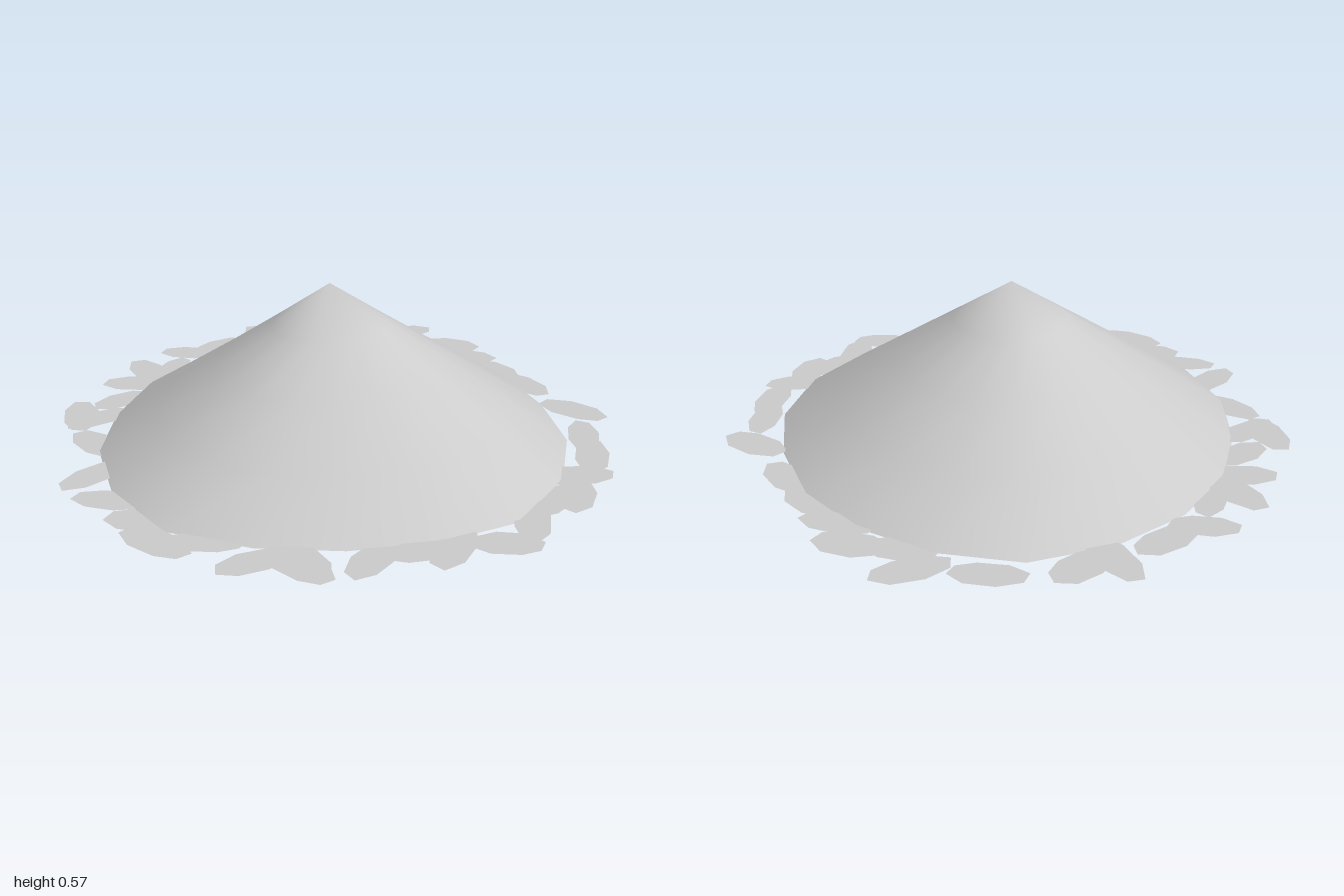
import * as THREE from 'three';
import { mergeVertices } from 'three/addons/utils/BufferGeometryUtils.js';

const HEIGHT = 0.57;
// uneven foot radius, every 20 degrees from +x towards +z
const RADII = [0.82, 0.82, 0.82, 0.85, 0.87, 0.88, 0.83, 0.81, 0.83,
  0.88, 0.87, 0.85, 0.82, 0.82, 0.82, 0.83, 0.85, 0.83];
const STEP = (Math.PI * 2) / RADII.length;

// leaves: centre x, centre z, heading in degrees
const LEAVES = [
  [0.16, -0.89, 60], [0.3, -0.83, 20], [0.48, -0.75, 115], [0.57, -0.69, 15],
  [0.77, -0.49, 60], [0.89, -0.29, 35], [0.82, -0.2, 65], [0.9, -0.05, 68],
  [0.84, 0.06, 70], [0.8, 0.22, 95], [0.74, 0.39, 105], [0.65, 0.65, 85],
  [0.49, 0.77, 150], [0.37, 0.86, 155], [0.21, 0.88, 45], [0.1, 0.93, 160],
  [0.02, 0.89, 5], [-0.13, 0.89, 150], [-0.29, 0.89, 55], [-0.41, 0.77, -10],
  [-0.48, 0.71, 40], [-0.61, 0.61, 0], [-0.77, 0.46, 90], [-0.74, 0.44, 105],
  [-0.84, 0.33, 30], [-0.84, 0.15, 55], [-0.94, 0.03, 85], [-0.88, -0.1, 65],
  [-0.86, -0.27, 65], [-0.78, -0.43, 10], [-0.62, -0.6, 100], [-0.51, -0.8, 130],
  [-0.48, -0.73, 20], [-0.32, -0.78, 20], [-0.19, -0.85, 55], [-0.08, -0.88, 110],
  [0, -0.83, 165],
];

function footRadius(angle) {
  const i = Math.round(angle / STEP) + RADII.length;
  return RADII[i % RADII.length];
}

// Smooth cone whose foot is uneven and whose back right flank sags slightly
function moundGeometry() {
  let geo = new THREE.ConeGeometry(1, 1, RADII.length, 4, true, Math.PI / 2);
  const p = geo.attributes.position;
  for (let i = 0; i < p.count; i++) {
    const t = 0.5 - p.getY(i); // 0 at the peak, 1 at the foot
    const a = Math.atan2(p.getZ(i), p.getX(i));
    const sag = Math.max(0, Math.cos(a + Math.PI / 4)) * 0.03 * Math.sin(Math.PI * t);
    const r = footRadius(a) * (t - sag);
    p.setXYZ(i, t === 0 ? -0.02 : Math.cos(a) * r - 0.02 * (1 - t),
      HEIGHT * (1 - t), t === 0 ? 0 : Math.sin(a) * r);
  }
  geo.deleteAttribute('normal');
  geo.deleteAttribute('uv');
  geo = mergeVertices(geo, 1e-4);
  geo.computeVertexNormals();
  return geo;
}

// Flat underside following the same foot outline
function undersideGeometry() {
  const outline = RADII.map((r, i) =>
    new THREE.Vector2(Math.cos(i * STEP) * r, Math.sin(i * STEP) * r));
  return new THREE.ShapeGeometry(new THREE.Shape(outline)).rotateX(Math.PI / 2);
}

// Flat eight-sided leaf, long along x
function leafGeometry() {
  const outline = [[-0.125, -0.02], [-0.06, -0.055], [0.04, -0.058], [0.105, -0.035],
    [0.125, 0.01], [0.07, 0.053], [-0.03, 0.06], [-0.11, 0.03]];
  const shape = new THREE.Shape(outline.map(([x, y]) => new THREE.Vector2(x, y)));
  return new THREE.ShapeGeometry(shape).rotateX(-Math.PI / 2);
}

export function createModel() {
  const model = new THREE.Group();
  model.name = 'leafRingedMound';
  const grey = new THREE.MeshStandardMaterial({ color: 0xcccccc });
  const leafGrey = new THREE.MeshStandardMaterial({ color: 0xcccccc, side: THREE.DoubleSide });

  const mound = new THREE.Mesh(moundGeometry(), grey);
  mound.name = 'mound';
  const underside = new THREE.Mesh(undersideGeometry(), grey);
  underside.name = 'underside';
  model.add(mound, underside);

  // ring of scattered leaves lying around the foot
  const ring = new THREE.Group();
  ring.name = 'leafRing';
  const leafShape = leafGeometry();
  LEAVES.forEach(([x, z, heading], i) => {
    const leaf = new THREE.Mesh(leafShape, leafGrey);
    leaf.name = 'leaf';
    leaf.position.set(x, 0.002 + 0.0015 * (i % 3), z);
    leaf.rotation.y = -THREE.MathUtils.degToRad(heading);
    leaf.scale.set(0.94 + 0.06 * (i % 3), 1, 0.95 + 0.05 * (i % 4));
    ring.add(leaf);
  });
  model.add(ring);
  return model;
}
